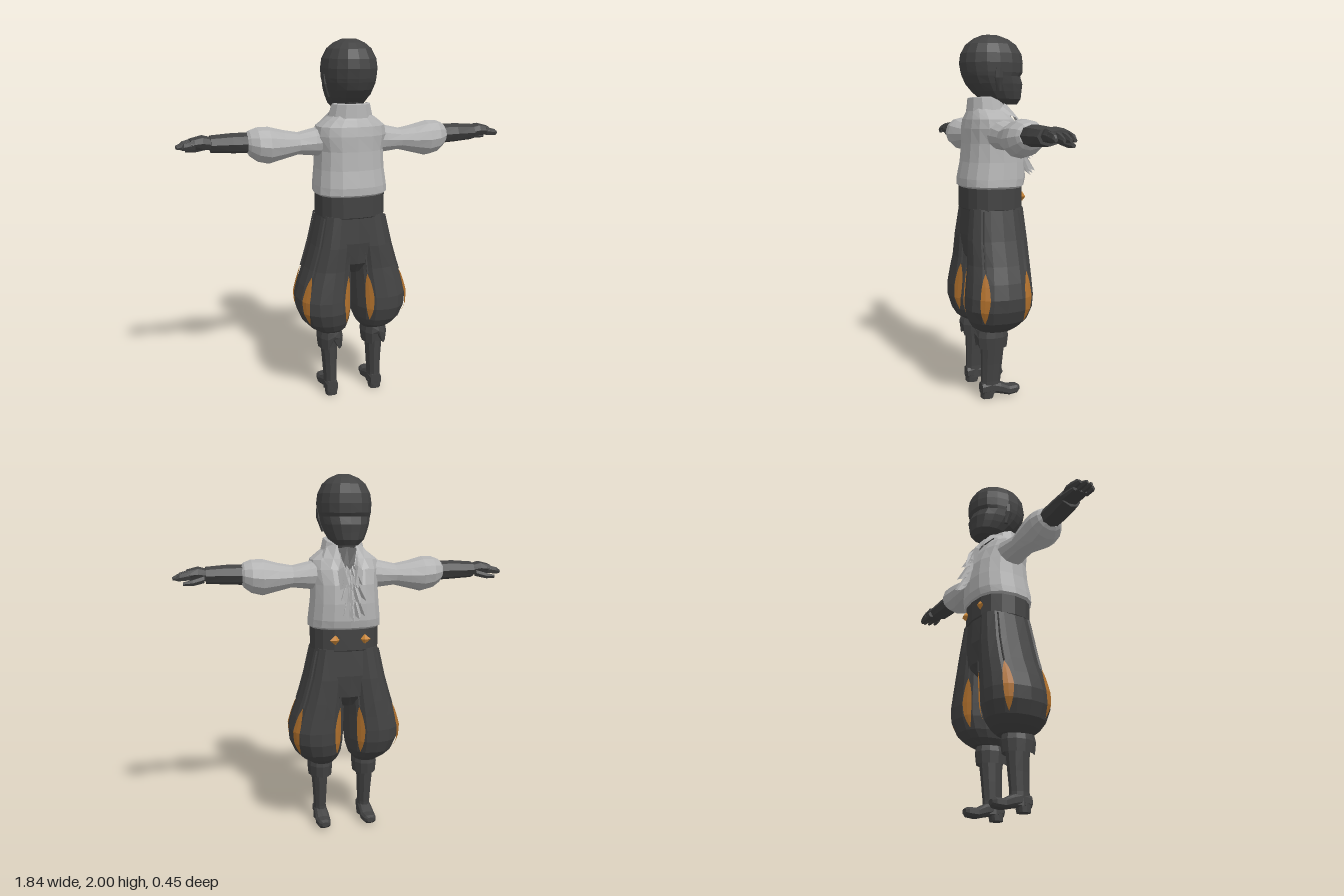
import * as THREE from 'three';

const mat = (name, color) => {
  const m = new THREE.MeshStandardMaterial({ color, flatShading: true, side: THREE.DoubleSide });
  m.name = name;
  return m;
};

// Surface through rows of points; zero-area triangles are dropped
function grid(rows) {
  const pos = [];
  const tri = (a, b, c) => {
    const [A, B, C] = [a, b, c].map(p => new THREE.Vector3(...p));
    if (B.sub(A).cross(C.sub(A)).length() > 1e-9) pos.push(...a, ...b, ...c);
  };
  for (let r = 0; r < rows.length - 1; r++) {
    for (let i = 0; i < rows[r].length - 1; i++) {
      const a = rows[r][i], b = rows[r + 1][i], c = rows[r + 1][i + 1], d = rows[r][i + 1];
      tri(a, b, c);
      tri(a, c, d);
    }
  }
  const g = new THREE.BufferGeometry();
  g.setAttribute('position', new THREE.Float32BufferAttribute(pos, 3));
  g.computeVertexNormals();
  return g;
}

const alongY = (t, u, v) => [u, t, v];
const alongX = (t, u, v) => [t, v, u];
const alongZ = (t, u, v) => [v, u, t];
const soft = (c, p) => Math.sign(c) * Math.abs(c) ** p;

// Closed tube through rings [t, uMin, uMax, vMin, vMax]
function loft(rings, n, place = alongY, p = 1, capped = true) {
  const rows = rings.map(([t, u0, u1, v0, v1]) => Array.from({ length: n + 1 }, (_, i) => {
    const a = (i % n) / n * Math.PI * 2;
    return place(t, (u0 + u1) / 2 + (u1 - u0) / 2 * soft(Math.cos(a), p),
      (v0 + v1) / 2 + (v1 - v0) / 2 * soft(Math.sin(a), p));
  }));
  if (capped) {
    const cap = ([t, u0, u1, v0, v1]) => Array(n + 1).fill(place(t, (u0 + u1) / 2, (v0 + v1) / 2));
    rows.unshift(cap(rings[0]));
    rows.push(cap(rings[rings.length - 1]));
  }
  return grid(rows);
}

// Copy reflected across x = 0 with its winding restored
function mirrored(g) {
  const m = g.clone(), p = m.attributes.position;
  for (let i = 0; i < p.count; i += 3) {
    const v = [0, 2, 1].map(k => new THREE.Vector3().fromBufferAttribute(g.attributes.position, i + k));
    v.forEach((q, k) => p.setXYZ(i + k, -q.x, q.y, q.z));
  }
  m.computeVertexNormals();
  return m;
}

// Rings of one breeches leg: y, xMin, xMax, zMin, zMax
const LEG = [
  [0.39, 0.06, 0.2, -0.05, 0.14], [0.42, 0.035, 0.245, -0.09, 0.18], [0.46, 0.02, 0.285, -0.125, 0.205],
  [0.53, 0.01, 0.315, -0.15, 0.225], [0.6, 0.008, 0.32, -0.155, 0.222], [0.68, 0.006, 0.298, -0.152, 0.212],
  [0.77, 0.004, 0.265, -0.15, 0.2], [0.9, 0, 0.225, -0.145, 0.195], [1.07, 0, 0.185, -0.13, 0.175],
];

// Point on the leg surface at height y and angle a, pushed out a little
function legPoint(y, a, out) {
  let k = 0;
  while (k < LEG.length - 2 && LEG[k + 1][0] < y) k++;
  const f = (y - LEG[k][0]) / (LEG[k + 1][0] - LEG[k][0]);
  const [, x0, x1, z0, z1] = LEG[k].map((v, i) => THREE.MathUtils.lerp(v, LEG[k + 1][i], f));
  return [(x0 + x1) / 2 + ((x1 - x0) / 2 + out) * soft(Math.cos(a), 0.9), y,
    (z0 + z1) / 2 + ((z1 - z0) / 2 + out) * soft(Math.sin(a), 0.9)];
}

export function createModel() {
  const root = new THREE.Group();
  const dark = mat('charcoal', 0x424242), linen = mat('grey linen', 0xb2b2b2);
  const slitOrange = mat('orange lining', 0xb0702c), gold = mat('gold', 0xcb8637);
  const add = (name, g, m) => {
    const mesh = new THREE.Mesh(g, m);
    mesh.name = name;
    root.add(mesh);
    return mesh;
  };
  const pair = (name, g, m) => {
    add(name + 'Left', g, m);
    add(name + 'Right', mirrored(g), m);
  };

  // Head, facing -z, with a shallow brow step
  add('head', loft([
    [1.63, -0.06, 0.06, -0.13, 0.0], [1.66, -0.095, 0.095, -0.15, 0.08], [1.7, -0.115, 0.115, -0.153, 0.125],
    [1.74, -0.13, 0.13, -0.157, 0.16], [1.78, -0.14, 0.14, -0.142, 0.178], [1.8, -0.144, 0.144, -0.155, 0.185],
    [1.85, -0.147, 0.147, -0.157, 0.195], [1.9, -0.14, 0.14, -0.15, 0.188], [1.95, -0.115, 0.115, -0.118, 0.16],
    [1.98, -0.08, 0.08, -0.075, 0.12], [2.0, -0.035, 0.035, -0.02, 0.07],
  ], 16, alongY, 0.92), dark);
  pair('ear', loft([[1.7, 0.1, 0.125, 0.0, 0.03], [1.77, 0.125, 0.15, 0.0, 0.05],
    [1.82, 0.13, 0.152, 0.005, 0.045]], 6), dark);
  add('neck', loft([[1.52, -0.075, 0.075, -0.07, 0.08], [1.6, -0.07, 0.07, -0.05, 0.09],
    [1.72, -0.075, 0.075, -0.06, 0.1]], 10), dark);

  // Shirt body, blousing over the belt
  add('shirt', loft([
    [1.17, -0.18, 0.18, -0.13, 0.18], [1.19, -0.203, 0.203, -0.15, 0.203], [1.23, -0.2, 0.2, -0.16, 0.203],
    [1.32, -0.19, 0.19, -0.158, 0.185], [1.42, -0.185, 0.185, -0.145, 0.176], [1.5, -0.198, 0.198, -0.115, 0.174],
    [1.55, -0.19, 0.19, -0.088, 0.165], [1.585, -0.145, 0.145, -0.06, 0.152], [1.615, -0.1, 0.1, -0.03, 0.14],
  ], 16, alongY, 0.82), linen);
  add('chestOpening', grid([
    [[-0.055, 1.61, -0.055], [0, 1.62, -0.065], [0.055, 1.61, -0.055]],
    [[-0.03, 1.53, -0.107], [0, 1.53, -0.112], [0.03, 1.53, -0.107]],
    [[0, 1.46, -0.14], [0, 1.46, -0.14], [0, 1.46, -0.14]],
  ]), dark);

  // Collar open at the front, with pointed lapels
  const arc = (y, rx, rz, cz) => Array.from({ length: 11 }, (_, i) => {
    const a = -0.95 + i / 10 * (Math.PI + 1.9);
    return [rx * Math.cos(a), y - Math.max(0, -Math.sin(a)) * 0.04, cz + rz * Math.sin(a)];
  });
  add('collar', grid([arc(1.6, 0.105, 0.1, 0.045), arc(1.67, 0.092, 0.09, 0.045),
    arc(1.665, 0.108, 0.1, 0.05), arc(1.595, 0.125, 0.112, 0.045)]), linen);
  pair('lapel', grid([
    [[0.05, 1.64, -0.045], [0.1, 1.62, -0.01], [0.125, 1.59, 0.02]],
    [[0.05, 1.56, -0.115], [0.085, 1.56, -0.105], [0.135, 1.56, -0.075]],
    [[0.025, 1.47, -0.15], [0.06, 1.5, -0.14], [0.105, 1.51, -0.13]],
  ]), linen);

  // Jabot of folded ruffles falling down the chest
  const ruffle = (y0, z0, w0, y1, z1, w1) => {
    const edge = (y, z, w, fold) => Array.from({ length: 9 }, (_, i) =>
      [(i / 4 - 1) * w, y + fold * (i % 2 ? 0.8 : -0.4) + Math.abs(i / 4 - 1) * 0.03, z + (i % 2 ? fold : -fold)]);
    return grid([edge(y0, z0, w0, 0.004), edge(y1, z1, w1, 0.018)]);
  };
  [[1.5, -0.125, 0.02, 1.4, -0.168, 0.055], [1.43, -0.145, 0.025, 1.32, -0.188, 0.07],
    [1.36, -0.155, 0.025, 1.24, -0.205, 0.06]].forEach((r, i) => add('ruffle' + (i + 1), ruffle(...r), linen));
  pair('neckFrill', grid([
    [[0.055, 1.6, -0.07], [0.03, 1.53, -0.12], [0.0, 1.45, -0.145]],
    [[0.045, 1.59, -0.095], [0.04, 1.52, -0.15], [0.015, 1.42, -0.18]],
    [[0.075, 1.57, -0.095], [0.07, 1.5, -0.135], [0.06, 1.4, -0.155]],
  ]), linen);

  // Puffed sleeves: x, zMin, zMax, yMin, yMax
  pair('sleeve', loft([
    [0.14, -0.07, 0.11, 1.38, 1.56], [0.2, -0.065, 0.1, 1.39, 1.54], [0.29, -0.055, 0.095, 1.4, 1.52],
    [0.37, -0.07, 0.115, 1.38, 1.535], [0.45, -0.08, 0.133, 1.36, 1.556], [0.51, -0.078, 0.128, 1.375, 1.555],
    [0.55, -0.06, 0.1, 1.405, 1.54], [0.563, -0.045, 0.085, 1.425, 1.525],
  ], 12, alongX), linen);
  pair('forearm', loft([[0.54, -0.045, 0.08, 1.42, 1.53], [0.64, -0.048, 0.084, 1.425, 1.53],
    [0.75, -0.052, 0.075, 1.432, 1.522]], 8, alongX), dark);
  pair('palm', loft([[0.735, -0.04, 0.055, 1.445, 1.51], [0.79, -0.055, 0.065, 1.45, 1.525],
    [0.85, -0.055, 0.065, 1.455, 1.51]], 8, alongX, 0.8), dark);
  for (let i = 0; i < 4; i++) {
    const z = -0.055 + i * 0.03, tip = [0.905, 0.922, 0.918, 0.895][i];
    pair('finger' + (i + 1), loft([[0.83, z, z + 0.03, 1.455, 1.508],
      [0.885, z + 0.001, z + 0.028, 1.452, 1.493], [tip, z + 0.006, z + 0.022, 1.455, 1.475]], 6, alongX), dark);
  }
  pair('thumb', loft([[0.76, -0.06, -0.02, 1.44, 1.48], [0.82, -0.066, -0.036, 1.427, 1.462],
    [0.87, -0.062, -0.04, 1.43, 1.45]], 6, alongX), dark);

  // Belt with two diamond studs
  add('belt', loft([[1.06, -0.186, 0.186, -0.137, 0.187], [1.065, -0.19, 0.19, -0.142, 0.192],
    [1.18, -0.19, 0.19, -0.142, 0.192], [1.19, -0.18, 0.18, -0.13, 0.18]], 16, alongY, 0.82), dark);
  for (const s of [-1, 1]) {
    const stud = add('beltStud', new THREE.OctahedronGeometry(1), gold);
    stud.scale.set(0.032, 0.027, 0.02);
    stud.position.set(s * 0.083, 1.125, -0.135);
    stud.rotation.y = s * 0.2;
  }

  // Breeches: hips, two ballooning legs, raised seams and lined slits
  add('hips', loft([[0.74, -0.06, 0.06, -0.09, 0.13], [0.8, -0.14, 0.14, -0.135, 0.175],
    [0.92, -0.21, 0.21, -0.143, 0.19], [1.07, -0.185, 0.185, -0.135, 0.182]], 16, alongY, 0.85), dark);
  pair('breechesLeg', loft(LEG, 16, alongY, 0.9), dark);
  [0.66, 2.18, -0.64, -2.18].forEach((a, i) => {
    const rows = Array.from({ length: 9 }, (_, r) => {
      const f = r / 8, w = 0.16 * Math.sin(Math.PI * f) ** 0.7, y = 0.465 + f * 0.275;
      return [-1, 0, 1].map(k => legPoint(y, a + k * w, 0.007));
    });
    pair('slit' + (i + 1), grid(rows), slitOrange);
    const seam = [0.74, 0.8, 0.9, 1.06].map(y => [-0.035, 0, 0.035].map((k, j) => legPoint(y, a + k, j === 1 ? 0.01 : 0)));
    pair('seam' + (i + 1), grid(seam), dark);
  });

  // Boots: shaft, folded cuff notched at the back, foot and heel
  pair('bootShaft', loft([[0.03, 0.093, 0.172, 0.015, 0.13], [0.1, 0.098, 0.17, 0.015, 0.128],
    [0.2, 0.093, 0.176, 0.005, 0.127], [0.3, 0.088, 0.185, -0.005, 0.13], [0.41, 0.08, 0.19, -0.01, 0.14]], 10), dark);
  const cuffRow = (y, rx, rz, notch) => Array.from({ length: 13 }, (_, i) => {
    const a = (i % 12) / 12 * Math.PI * 2;
    return [0.133 + rx * Math.cos(a), y + (i === 3 ? notch : 0), 0.068 + rz * Math.sin(a)];
  });
  pair('bootCuff', grid([cuffRow(0.31, 0.05, 0.07, 0.04), cuffRow(0.295, 0.068, 0.092, 0.065),
    cuffRow(0.36, 0.074, 0.1, 0.02), cuffRow(0.4, 0.066, 0.092, 0), cuffRow(0.41, 0.05, 0.07, 0)]), dark);
  pair('bootFoot', loft([[-0.097, 0.022, 0.05, 0.115, 0.155], [-0.08, 0.008, 0.06, 0.1, 0.172],
    [-0.03, 0.003, 0.06, 0.092, 0.178], [0.02, 0.015, 0.085, 0.094, 0.174], [0.07, 0.025, 0.1, 0.096, 0.172],
    [0.128, 0.02, 0.09, 0.1, 0.168]], 10, alongZ, 0.75), dark);
  pair('bootHeel', loft([[0, 0.1, 0.167, 0.06, 0.128], [0.045, 0.097, 0.17, 0.05, 0.13]], 10, alongY, 0.7), dark);

  return root;
}
